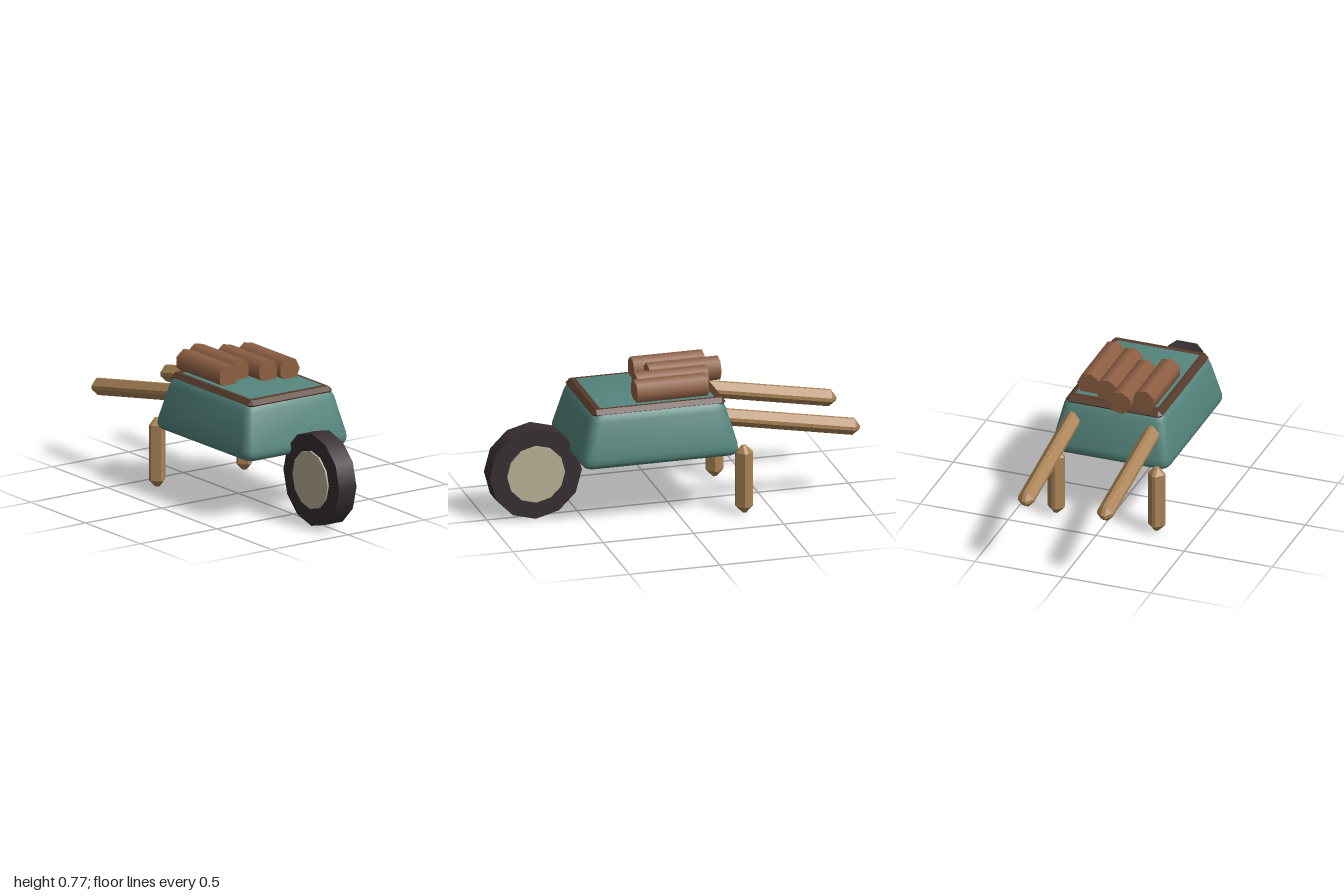
import * as THREE from 'three';
import { mergeVertices, toCreasedNormals } from 'three/addons/utils/BufferGeometryUtils.js';
import { RoundedBoxGeometry } from 'three/addons/geometries/RoundedBoxGeometry.js';
import { ConvexGeometry } from 'three/addons/geometries/ConvexGeometry.js';

const mat = (name, color) => {
  const m = new THREE.MeshStandardMaterial({ color });
  m.name = name;
  return m;
};

// Box with every edge and corner cut by c
function chamferBox(w, h, d, c) {
  const pts = [];
  for (const sx of [-1, 1]) for (const sy of [-1, 1]) for (const sz of [-1, 1]) {
    const x = w / 2, y = h / 2, z = d / 2;
    pts.push(new THREE.Vector3(sx * x, sy * (y - c), sz * (z - c)));
    pts.push(new THREE.Vector3(sx * (x - c), sy * y, sz * (z - c)));
    pts.push(new THREE.Vector3(sx * (x - c), sy * (y - c), sz * z));
  }
  return new ConvexGeometry(pts);
}

// Rounded tub that narrows towards the top
function tubGeometry(w, h, d, radius, taper) {
  let g = new RoundedBoxGeometry(w, h, d, 2, radius);
  g.deleteAttribute('normal');
  g.deleteAttribute('uv');
  g.clearGroups();
  const p = g.attributes.position;
  for (let i = 0; i < p.count; i++) {
    const s = 1 - taper * (p.getY(i) / h + 0.5);
    p.setXYZ(i, p.getX(i) * s, p.getY(i), p.getZ(i) * s);
  }
  g = mergeVertices(g, 1e-4);
  return toCreasedNormals(g, 0.7);
}

export function createModel() {
  const teal = mat('teal paint', 0x55867d);
  const wood = mat('light wood', 0xaa8356);
  const bark = mat('log brown', 0x8f6044);
  const dark = mat('dark brown rim', 0x56392b);
  const rubber = mat('rubber', 0x372e31);
  const cream = mat('cream hub', 0xbbb098);

  const model = new THREE.Group();
  model.name = 'wheelbarrow';
  const add = (name, geo, material, x, y, z) => {
    const mesh = new THREE.Mesh(geo, material);
    mesh.name = name;
    mesh.position.set(x, y, z);
    model.add(mesh);
    return mesh;
  };

  // Tub and the rim around its top
  add('tub', tubGeometry(0.70, 0.321, 0.90, 0.065, 0.2), teal, 0, 0.5035, 0.125);
  add('rim', chamferBox(0.55, 0.048, 0.74, 0.023), dark, 0, 0.638, 0.122);

  // Front wheel
  const disc = (r, w) => new THREE.CylinderGeometry(r, r, w, 12).rotateZ(Math.PI / 2);
  add('tyre', disc(0.255, 0.113), rubber, 0, 0.257, 0.745);
  add('hub', disc(0.16, 0.132), cream, 0, 0.257, 0.745);

  // Legs and handles
  const legGeo = chamferBox(0.094, 0.38, 0.094, 0.038);
  const handleGeo = chamferBox(0.09, 0.09, 0.80, 0.035);
  for (const [side, s] of [['left', 1], ['right', -1]]) {
    add(side + 'Leg', legGeo, wood, s * 0.285, 0.2, -0.342);
    add(side + 'Handle', handleGeo, wood, s * 0.225, 0.475, -0.603).rotation.x = -0.18;
  }

  // Load of seven-sided logs
  const logGeo = new THREE.CylinderGeometry(0.066, 0.066, 0.395, 7, 1, false, Math.PI / 2).rotateX(Math.PI / 2);
  [-0.045, -0.1, 0, 0.035].forEach((z, i) => {
    add('log' + (i + 1), logGeo, bark, -0.171 + i * 0.1135, 0.71, z);
  });

  return model;
}
